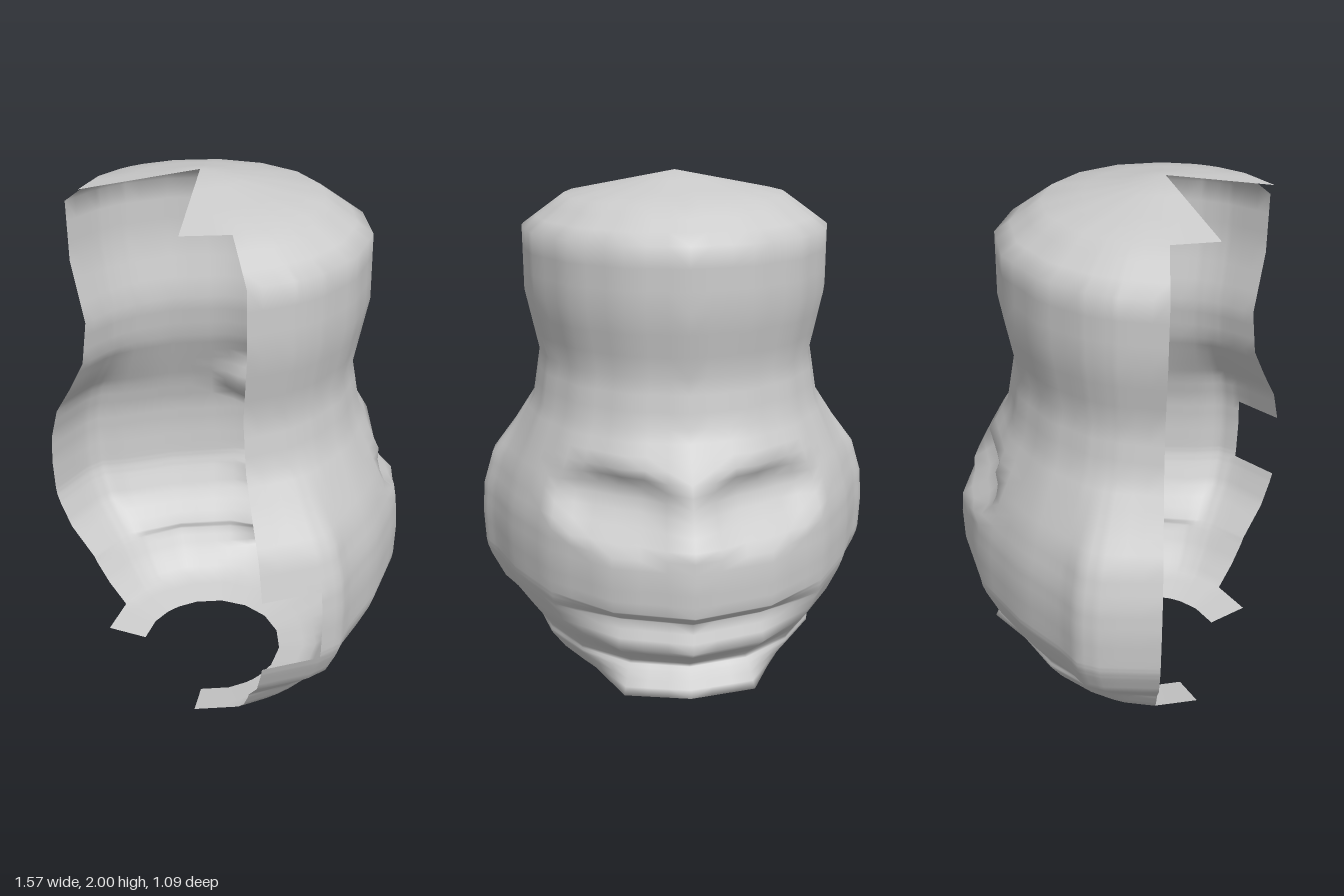
import * as THREE from 'three';
import { mergeVertices } from 'three/addons/utils/BufferGeometryUtils.js';

// Rows from crown to chin plate: height, radius, body shaping weight, face radius
const ROWS = [
  [2.0, 0, 0], [1.915, 0.42, 0], [1.8, 0.58, 0], [1.57, 0.58, 0],
  [1.33, 0.53, 0], [1.15, 0.56, 0], [1.02, 0.645, 0.5], [0.9, 0.735, 1, 0.71],
  [0.77, 0.775, 1], [0.65, 0.785, 1], [0.52, 0.78, 1], [0.49, 0.775, 1, 0.745],
  [0.45, 0.76, 1, 0.69], [0.35, 0.71, 1, 0.73], [0.23, 0.59, 0.5, 0.58],
  [0.2, 0.565, 0, 0.6], [0.12, 0.51, 0, 0.65], [0.035, 0.43, 0], [0, 0.28, 0],
];
// Columns from the middle of the face to the open edge: angle, body shaping factor
const COLS = [
  [0, 1], [22.5, 0.965], [45, 0.92], [67.5, 0.905], [84, 0.94],
  [91, 1], [97, 1], [112.5, 0.97], [135, 1],
];
const CENTER_Z = 0.24;
const SUB = 3;

// Corner of the coarse grid on the +x half
function corner(i, j) {
  const [y, radius, weight, face = radius] = ROWS[i];
  const [degrees, factor] = COLS[j];
  const faceBlend = THREE.MathUtils.clamp((45 - degrees) / 22.5, 0, 1);
  const r = THREE.MathUtils.lerp(radius, face, faceBlend) * (1 + (factor - 1) * weight);
  const a = THREE.MathUtils.degToRad(degrees);
  return new THREE.Vector3(r * Math.sin(a), y, CENTER_Z - r * Math.cos(a));
}

// Press the eye socket inwards
function pressEye(p) {
  if (p.z > 0.1) return p;
  const dx = (p.x - 0.27) / 0.25, dy = (p.y - 0.88) / 0.13;
  const d = dx * dx + dy * dy;
  if (d < 1) p.z += 0.11 * Math.pow(1 - d, 0.8);
  return p;
}

function addHalf(side, out) {
  const lastCol = COLS.length - 2;
  const lastRow = ROWS.length - 2;
  for (let i = 0; i <= lastRow; i++) {
    for (let j = 0; j <= lastCol; j++) {
      // Only the crown and the chin plate reach past the open edge
      if (j === lastCol && i !== 0 && i !== lastRow) continue;
      // Square notch in one ear
      if (side > 0 && j === lastCol - 1 && i >= 8 && i <= 10) continue;
      const a = corner(i, j), b = corner(i, j + 1);
      const c = corner(i + 1, j), d = corner(i + 1, j + 1);
      const at = (u, v) => {
        const p = pressEye(a.clone().lerp(b, u).lerp(c.clone().lerp(d, u), v));
        p.x *= side;
        return p;
      };
      for (let m = 0; m < SUB; m++) {
        for (let n = 0; n < SUB; n++) {
          const p = at(m / SUB, n / SUB), q = at((m + 1) / SUB, n / SUB);
          const r = at(m / SUB, (n + 1) / SUB), s = at((m + 1) / SUB, (n + 1) / SUB);
          const tris = side > 0 ? [p, q, r, q, s, r] : [p, r, q, q, r, s];
          for (let t = 0; t < 6; t += 3) {
            const [e, f, g] = tris.slice(t, t + 3);
            if (e.distanceTo(f) < 1e-5 || f.distanceTo(g) < 1e-5 || g.distanceTo(e) < 1e-5) continue;
            for (const k of [e, f, g]) out.push(k.x, k.y, k.z);
          }
        }
      }
    }
  }
}

export function createModel() {
  const group = new THREE.Group();
  group.name = 'openHeadShell';

  // Thin shell with the face on its back side, open towards the front
  const positions = [];
  addHalf(1, positions);
  addHalf(-1, positions);
  let geometry = new THREE.BufferGeometry();
  geometry.setAttribute('position', new THREE.Float32BufferAttribute(positions, 3));
  geometry = mergeVertices(geometry, 1e-4);
  geometry.computeVertexNormals();

  const material = new THREE.MeshStandardMaterial({ color: 0xcccccc, side: THREE.DoubleSide });
  const shell = new THREE.Mesh(geometry, material);
  shell.name = 'headShell';
  group.add(shell);
  return group;
}
